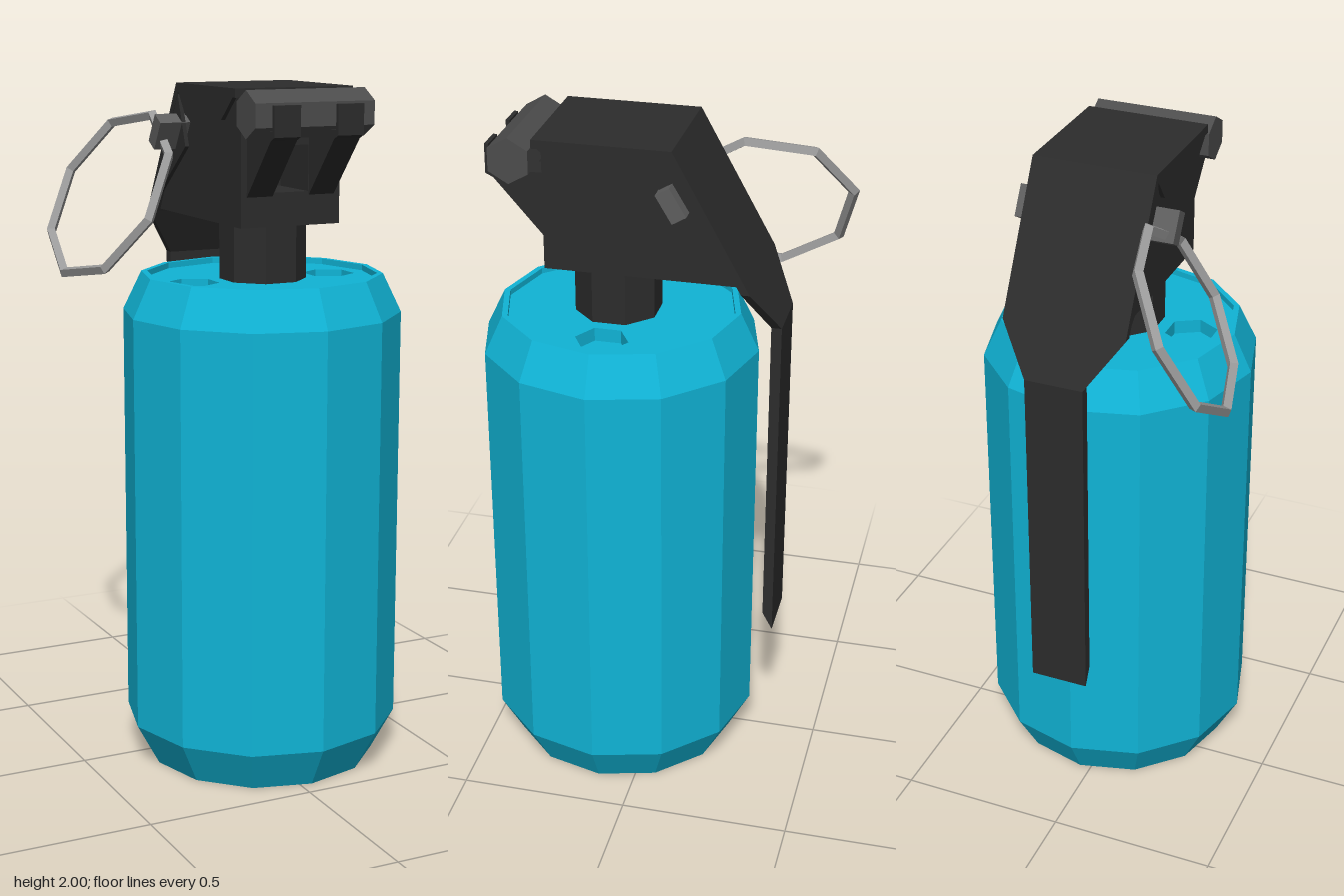
import * as THREE from 'three';

const CX = 0.035, CZ = 0.11; // axis of the canister

const mat = (name, color) => {
  const m = new THREE.MeshStandardMaterial({ color });
  m.name = name;
  return m;
};

// Faceted copy of a geometry
function flat(geo) {
  const g = geo.index ? geo.toNonIndexed() : geo;
  g.computeVertexNormals();
  return g;
}

// Side profile of [z, y] points, extruded along x from x0 to x1
function slab(points, x0, x1) {
  const shape = new THREE.Shape(points.map(([z, y]) => new THREE.Vector2(-z, y)));
  const g = new THREE.ExtrudeGeometry(shape, { depth: x1 - x0, bevelEnabled: false });
  return g.rotateY(Math.PI / 2).translate(CX + x0, 0, 0);
}

// Regular polygon as 2D points
function polygon(n, r, x = 0, y = 0, start = 0) {
  return Array.from({ length: n }, (_, i) => {
    const a = start + (i / n) * Math.PI * 2;
    return new THREE.Vector2(x + r * Math.cos(a), y + r * Math.sin(a));
  });
}

// Bent plate: each station is [outer z, outer y, inner z, inner y, half width]
function bentPlate(stations) {
  const pos = [], idx = [];
  for (const [oz, oy, iz, iy, w] of stations) {
    pos.push(CX - w, oy, oz, CX + w, oy, oz, CX + w, iy, iz, CX - w, iy, iz);
  }
  for (let s = 0; s < stations.length - 1; s++) {
    for (let k = 0; k < 4; k++) {
      const a = s * 4 + k, b = s * 4 + (k + 1) % 4;
      idx.push(a, b, b + 4, a, b + 4, a + 4);
    }
  }
  const e = (stations.length - 1) * 4;
  idx.push(0, 2, 1, 0, 3, 2, e, e + 1, e + 2, e, e + 2, e + 3);
  const g = new THREE.BufferGeometry();
  g.setAttribute('position', new THREE.Float32BufferAttribute(pos, 3));
  g.setIndex(idx);
  return flat(g);
}

export function createModel() {
  const group = new THREE.Group();
  const teal = mat('teal paint', 0x10b4d6);
  const black = mat('black metal', 0x2c2c2c);
  const grey = mat('dark grey metal', 0x4c4c4c);
  const pinGrey = mat('pin grey', 0x5e5e5e);
  const steel = mat('ring steel', 0x9a9a9a);

  const add = (name, geo, material) => {
    const m = new THREE.Mesh(geo, material);
    m.name = name;
    group.add(m);
    return m;
  };

  // Twelve-sided canister with chamfered ends and a shallow rim
  const profile = [[0, 0], [0.338, 0], [0.406, 0.125], [0.406, 1.35], [0.352, 1.462],
    [0.335, 1.462], [0.335, 1.44]].map(([r, y]) => new THREE.Vector2(r, y));
  add('canister', flat(new THREE.LatheGeometry(profile, 12)).translate(CX, 0, CZ), teal);

  // Recessed lid with two hexagonal pits
  const lid = new THREE.Shape(polygon(12, 0.336));
  for (const s of [-1, 1]) {
    lid.holes.push(new THREE.Path(polygon(6, 0.077, s * 0.22, 0, Math.PI / 2)));
    const floor = new THREE.CircleGeometry(0.08, 6, Math.PI / 2).rotateX(-Math.PI / 2);
    add('pitFloor', floor.translate(CX + s * 0.22, 1.405, CZ), teal);
  }
  const lidGeo = new THREE.ExtrudeGeometry(lid, { depth: 0.045, bevelEnabled: false });
  add('lid', lidGeo.rotateX(-Math.PI / 2).translate(CX, 1.4, CZ), teal);

  // Octagonal neck
  const neck = new THREE.CylinderGeometry(0.126, 0.126, 0.2, 8).rotateY(Math.PI / 8);
  add('neck', flat(neck).translate(CX, 1.54, 0.117), black);

  // Head: two cheeks and a middle slice with a square recess in front
  const cheek = [[0.29, 1.615], [0.29, 1.975], [-0.07, 1.975], [-0.265, 1.615]];
  const middle = [[0.29, 1.615], [0.29, 1.71], [0.12, 1.71], [0.12, 1.84], [0.29, 1.84],
    [0.29, 1.975], [-0.07, 1.975], [-0.265, 1.615]];
  add('headCheek', slab(cheek, -0.155, -0.055), black);
  add('headCheek', slab(cheek, 0.055, 0.155), black);
  add('headMiddle', slab(middle, -0.055, 0.055), black);

  // Hooked prongs holding the hinge bar
  const prong = [[0.28, 1.69], [0.29, 1.70], [0.435, 1.865], [0.457, 1.875], [0.457, 1.96],
    [0.445, 1.96], [0.445, 1.89], [0.28, 1.89]];
  add('prong', slab(prong, -0.137, -0.057), black);
  add('prong', slab(prong, 0.057, 0.137), black);

  // Hexagonal hinge bar
  const bar = polygon(6, 0.066, 0.377, 1.933, Math.PI / 2).map((p) => [p.x, p.y]);
  add('hingeBar', slab(bar, -0.183, 0.183), grey);

  // Safety lever: flat top, sloping back, taper, long strip
  add('lever', bentPlate([
    [0.31, 2.0, 0.31, 1.975, 0.183],
    [-0.08, 2.0, -0.068, 1.975, 0.183],
    [-0.30, 1.605, -0.275, 1.605, 0.183],
    [-0.375, 1.47, -0.345, 1.47, 0.087],
    [-0.375, 0.455, -0.345, 0.51, 0.087],
  ]), black);

  // Folded side flanges of the lever
  const topFlange = [[0.31, 1.99], [0.22, 1.91], [-0.02, 1.91], [-0.08, 1.99]];
  const backFlange = [[-0.08, 1.99], [-0.02, 1.82], [-0.26, 1.63], [-0.295, 1.61]];
  for (const x of [-0.182, 0.17]) {
    add('leverTopFlange', slab(topFlange, x, x + 0.012), black);
    add('leverBackFlange', slab(backFlange, x, x + 0.012), black);
  }

  // Cross pin, tilted with the lever
  const pin = new THREE.BoxGeometry(0.47, 0.092, 0.046).rotateX(0.54);
  add('crossPin', pin.translate(0.02, 1.86, -0.086), pinGrey);

  // Eight-sided pull ring hanging from the pin
  const u = new THREE.Vector3(0.135, 0.24, 0.038).normalize();
  const v = new THREE.Vector3(-0.02, 0.05, -0.272).normalize();
  const w = u.clone().cross(v).normalize();
  v.crossVectors(w, u);
  const ring = flat(new THREE.TorusGeometry(0.267, 0.017, 4, 8));
  ring.applyMatrix4(new THREE.Matrix4().makeBasis(u, v, w).setPosition(-0.3, 1.67, -0.238));
  add('pullRing', ring, steel);

  return group;
}
